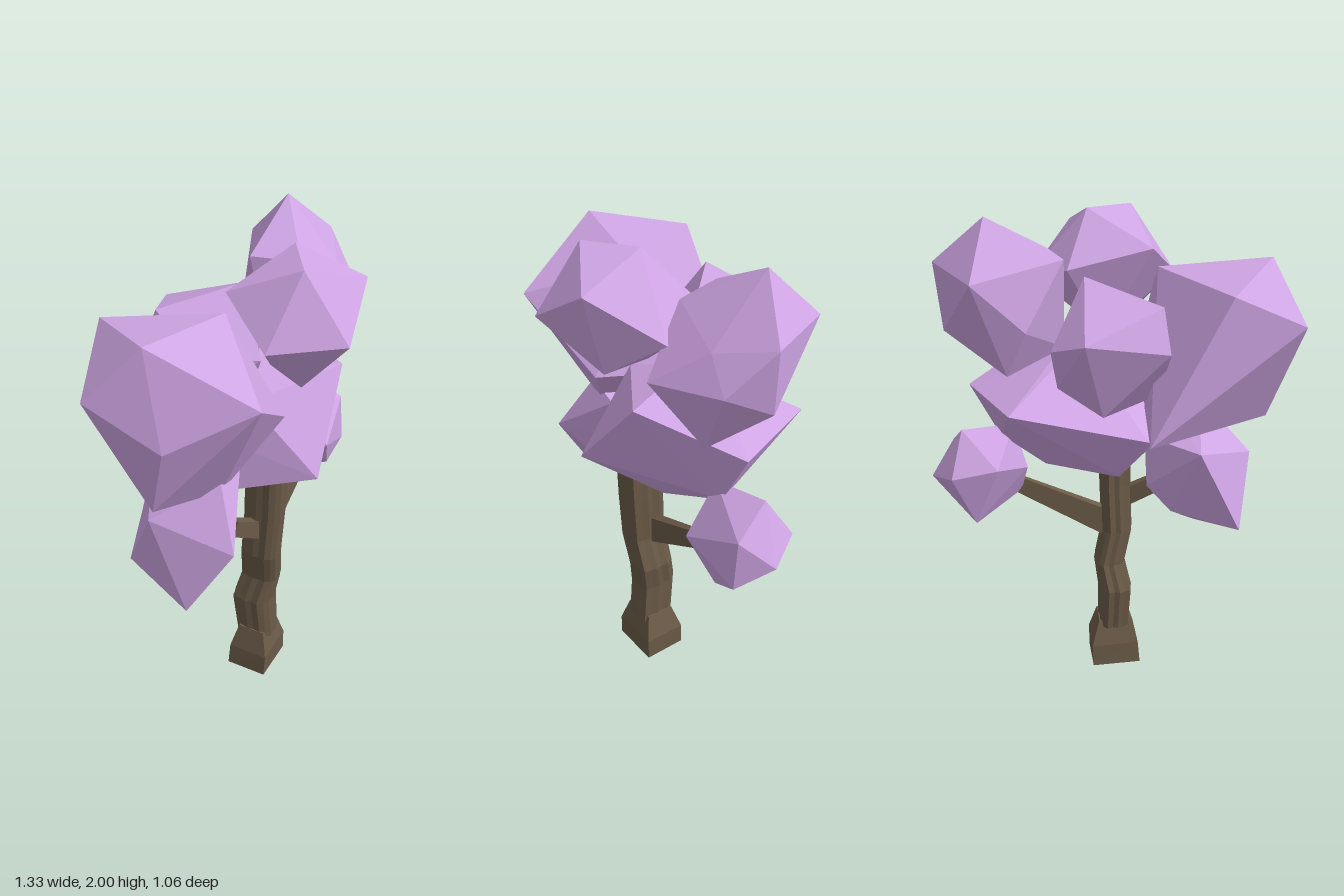
import * as THREE from 'three';
import { ConvexGeometry } from 'three/addons/geometries/ConvexGeometry.js';

const bark = new THREE.MeshStandardMaterial({ color: 0x6b5b48, flatShading: true });
const leaf = new THREE.MeshStandardMaterial({ color: 0xcfa5e4, flatShading: true });

// Faceted leaf clump: the hull around a few corner points (x, y, z)
function clump(name, ...points) {
  const mesh = new THREE.Mesh(new ConvexGeometry(points.map((p) => new THREE.Vector3(...p))), leaf);
  mesh.name = name;
  return mesh;
}

// The trunk is turned: local sideways/forward offsets to [x, z]
const turned = (u, v) => [0.804 * u + 0.595 * v, -0.595 * u + 0.804 * v];

// Capped column through rings [y, x0, x1, z0, z1]; section(i) gives a unit [x, z]
function loft(name, rings, sides, section) {
  const pos = [], index = [];
  for (const [y, x0, x1, z0, z1] of rings) {
    for (let i = 0; i < sides; i++) {
      const [u, v] = section(i);
      pos.push((x0 + x1) / 2 + u * (x1 - x0) / 2, y, (z0 + z1) / 2 + v * (z1 - z0) / 2);
    }
  }
  for (let r = 0; r < rings.length - 1; r++) {
    for (let i = 0; i < sides; i++) {
      const a = r * sides + i, b = r * sides + (i + 1) % sides;
      index.push(a, a + sides, b, b, a + sides, b + sides);
    }
  }
  // end caps fan out from a centre point
  [0, rings.length - 1].forEach((r, top) => {
    const [y, x0, x1, z0, z1] = rings[r];
    const c = pos.length / 3;
    pos.push((x0 + x1) / 2, y, (z0 + z1) / 2);
    for (let i = 0; i < sides; i++) {
      const a = r * sides + i, b = r * sides + (i + 1) % sides;
      if (top) index.push(c, b, a); else index.push(c, a, b);
    }
  });
  const g = new THREE.BufferGeometry();
  g.setAttribute('position', new THREE.Float32BufferAttribute(pos, 3));
  g.setIndex(index);
  g.computeVertexNormals();
  const mesh = new THREE.Mesh(g, bark);
  mesh.name = name;
  return mesh;
}

// Tapered four-sided branch between two points, narrower than it is tall
function branch(name, from, to, r0, r1, narrow) {
  const a = new THREE.Vector3(...from), b = new THREE.Vector3(...to);
  const dir = b.clone().sub(a);
  const geometry = new THREE.CylinderGeometry(r1, r0, dir.length(), 4, 1, false, Math.PI / 4);
  const mesh = new THREE.Mesh(geometry, bark);
  dir.normalize();
  const side = new THREE.Vector3(0, 1, 0).cross(dir).normalize();
  const basis = new THREE.Matrix4().makeBasis(side, dir, side.clone().cross(dir));
  mesh.quaternion.setFromRotationMatrix(basis);
  mesh.position.copy(a).add(b).multiplyScalar(0.5);
  mesh.scale.x = narrow;
  mesh.name = name;
  return mesh;
}

export function createModel() {
  const tree = new THREE.Group();
  tree.name = 'tree';

  // Square flared foot
  tree.add(loft('trunkBase', [
    [0, -0.05, 0.21, -0.085, 0.18],
    [0.1, -0.04, 0.21, -0.085, 0.18],
    [0.21, 0, 0.17, -0.04, 0.14],
  ], 4, (i) => turned(i === 0 || i === 3 ? 0.79 : -0.79, i < 2 ? 0.68 : -0.68)));

  // Crooked, grooved trunk with a rounded oblong section
  const sides = 20;
  tree.add(loft('trunk', [
    [0.18, 0, 0.17, -0.04, 0.14],
    [0.37, -0.02, 0.165, -0.05, 0.13],
    [0.49, 0.02, 0.185, -0.04, 0.135],
    [0.64, 0, 0.165, -0.01, 0.165],
    [0.85, 0.01, 0.175, -0.005, 0.175],
    [1.05, 0.01, 0.18, 0, 0.18],
  ], sides, (i) => {
    const a = (i + 0.5) / sides * Math.PI * 2, c = Math.cos(a), s = Math.sin(a);
    const r = (i % 2 ? 0.96 : 1.04) / (c ** 4 + s ** 4) ** 0.25;
    return turned(c * r * 0.74, s * r * 0.93);
  }));

  tree.add(branch('leftBranch', [0.1, 0.67, 0.04], [0.43, 0.88, -0.18], 0.08, 0.045, 0.4));
  tree.add(branch('rightBranch', [0.08, 0.76, 0.09], [-0.09, 0.86, 0.15], 0.055, 0.048, 0.6));

  // Leaf clumps
  tree.add(
    clump('rightLargeClump', [-0.48, 1.82, 0.29], [-0.67, 1.6, 0.18], [-0.09, 1.78, 0.1],
      [-0.49, 1.76, -0.1], [-0.27, 1.22, -0.31], [-0.48, 1.17, 0.31], [-0.16, 1.62, 0.53],
      [-0.47, 1.46, 0.4], [0.08, 1.39, 0.25], [-0.18, 1.13, 0.25]),
    clump('topFrontClump', [-0.08, 1.85, 0.08], [-0.05, 1.71, 0.33], [0.12, 1.97, 0.28],
      [0.2, 1.98, 0.07], [0.39, 1.89, 0.26], [0.41, 1.72, -0.02], [0.33, 1.56, 0.2],
      [0.15, 1.49, 0.24], [0.12, 1.5, 0.05], [0.22, 1.73, 0.44], [0.18, 1.78, -0.12]),
    clump('topLeftClump', [0.39, 2, -0.34], [0.61, 1.82, -0.37], [0.63, 1.65, -0.2],
      [0.33, 1.8, -0.53], [0.46, 1.61, 0.05], [0.49, 1.36, -0.15], [0.3, 1.84, -0.06],
      [0.15, 1.84, -0.19], [0.3, 1.42, -0.37], [0.2, 1.48, -0.12], [0.52, 1.76, -0.16],
      [0.58, 1.56, -0.37], [0.21, 1.6, -0.37]),
    clump('middleClump', [0.41, 1.46, 0.1], [0.53, 1.33, -0.3], [0.2, 1.46, -0.2],
      [0.2, 1.33, -0.52], [0.45, 1.1, -0.22], [0.2, 1.11, 0.31], [0.2, 0.93, -0.01],
      [-0.06, 1.02, 0.12], [-0.23, 1.21, -0.24], [-0.08, 1.02, -0.2], [0.2, 1.05, -0.28],
      [0.15, 1.5, -0.1], [0, 1.4, 0.12], [-0.1, 1.24, 0.07]),
    clump('lowRightClump', [-0.38, 0.69, 0.35], [-0.46, 1.05, 0.2], [-0.49, 0.77, 0.05],
      [-0.22, 0.97, 0.44], [-0.2, 1.21, 0.28], [-0.08, 1.17, 0.2], [-0.06, 0.97, 0.12],
      [-0.14, 0.78, 0.2], [-0.25, 0.72, 0.14], [-0.35, 1.1, -0.03], [-0.07, 1.1, 0.04],
      [-0.1, 0.9, 0], [-0.2, 0.8, 0.02]),
    clump('lowLeftClump', [0.53, 1.16, -0.37], [0.4, 1.15, -0.2], [0.65, 1.06, -0.27],
      [0.66, 0.95, -0.41], [0.51, 0.99, -0.48], [0.55, 0.78, -0.2], [0.47, 0.77, -0.39],
      [0.48, 0.95, -0.09], [0.34, 0.97, -0.2], [0.36, 1.02, -0.38], [0.66, 0.85, -0.26],
      [0.4, 0.84, -0.16]),
    clump('backClump', [-0.09, 1.62, -0.46], [0.1, 1.77, -0.13], [-0.25, 1.71, -0.17],
      [-0.3, 1.55, -0.21], [-0.07, 1.3, -0.3], [0.1, 1.55, -0.38], [0.16, 1.5, -0.17],
      [-0.17, 1.55, -0.02], [0.1, 1.5, 0.01], [0.1, 1.4, -0.34], [-0.18, 1.33, -0.06],
      [0.1, 1.35, -0.06]),
  );
  return tree;
}
